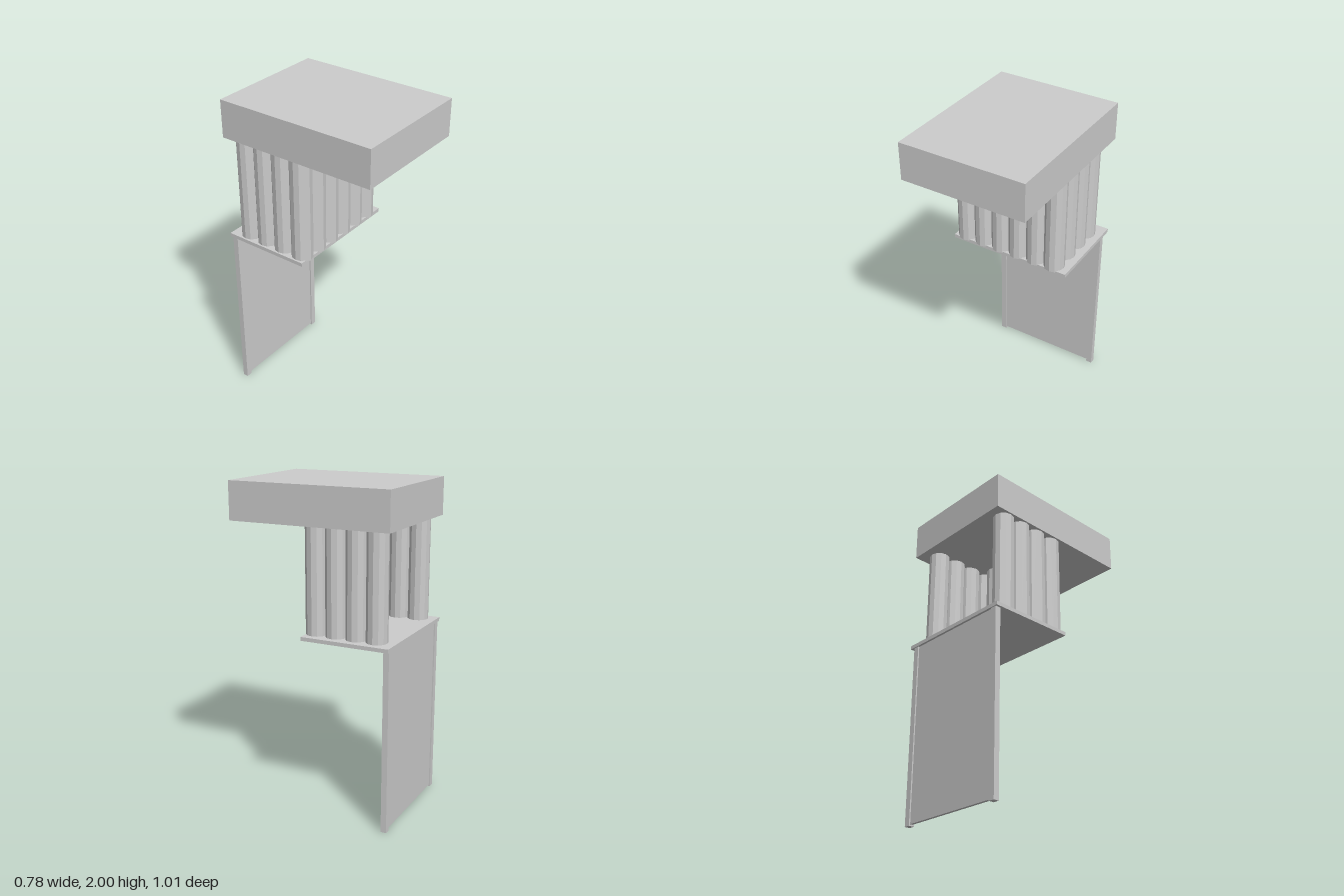
import * as THREE from 'three';

export function createModel() {
  const model = new THREE.Group();
  model.name = 'columnStand';
  const grey = new THREE.MeshStandardMaterial({ color: 0xcccccc, flatShading: true });
  grey.name = 'grey';

  // Box given by its lower and upper bounds
  function box(name, [x0, x1], [y0, y1], [z0, z1]) {
    const mesh = new THREE.Mesh(new THREE.BoxGeometry(x1 - x0, y1 - y0, z1 - z0), grey);
    mesh.position.set((x0 + x1) / 2, (y0 + y1) / 2, (z0 + z1) / 2);
    mesh.name = name;
    model.add(mesh);
  }

  // Roof slab and the thin shelf under the columns
  box('roofSlab', [-0.39, 0.39], [1.77, 2], [-0.506, 0.506]);
  box('shelf', [-0.39, 0.39], [1.11, 1.133], [-0.506, 0.045]);

  // Rear support: recessed panel between two posts
  box('rearPanel', [-0.34, 0.33], [0.01, 1.11], [-0.492, -0.474]);
  box('rightPost', [-0.375, -0.337], [0, 1.11], [-0.5, -0.465]);
  box('leftPost', [0.325, 0.363], [0, 1.11], [-0.5, -0.465]);

  // Columns along the front and both sides, open at the back
  const bottom = 1.125, top = 1.772, radius = 0.064;
  const columnGeometry = new THREE.CylinderGeometry(radius, radius, top - bottom, 12);
  const columns = new THREE.Group();
  columns.name = 'columns';
  const across = 6, deep = 4;
  for (let i = 0; i < across; i++) {
    for (let j = 0; j < deep; j++) {
      if (j > 0 && i > 0 && i < across - 1) continue;
      const column = new THREE.Mesh(columnGeometry, grey);
      column.name = 'column';
      column.position.set(-0.317 + i * 0.121, (bottom + top) / 2, -0.008 - j * 0.128);
      columns.add(column);
    }
  }
  model.add(columns);
  return model;
}
